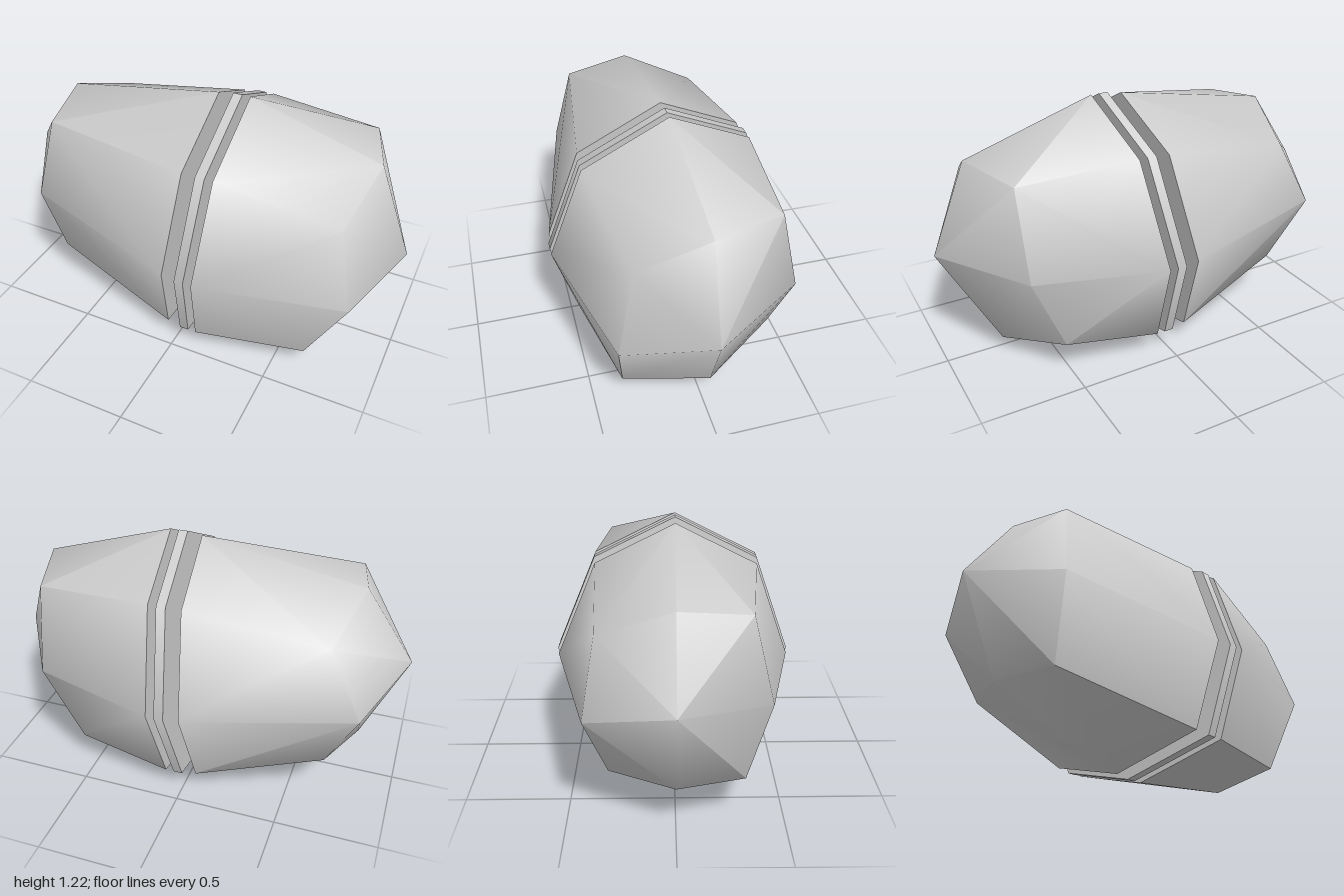
import * as THREE from 'three';
import { ConvexGeometry } from 'three/addons/geometries/ConvexGeometry.js';
import { toCreasedNormals } from 'three/addons/utils/BufferGeometryUtils.js';

// Uneven eight-sided cross-section at the cut, as [y, z]
const SECTION = [
  [1.22, 0.01], [1.01, 0.42], [0.53, 0.59], [0.11, 0.47],
  [0.0, -0.01], [0.12, -0.44], [0.56, -0.59], [1.03, -0.39],
];

// The section laid on the tilted cutting plane, shifted along x
function cutRing(offset, scale = 1) {
  return SECTION.map(([sy, sz]) => {
    const y = 0.61 + (sy - 0.61) * scale;
    const z = sz * scale;
    return [offset + 0.083 * (y - 0.61) + 0.051 * z, y, z];
  });
}

function hullMesh(name, points, material) {
  const hull = new ConvexGeometry(points.map((p) => new THREE.Vector3(...p)));
  const mesh = new THREE.Mesh(toCreasedNormals(hull, THREE.MathUtils.degToRad(52)), material);
  mesh.name = name;
  return mesh;
}

export function createModel() {
  const group = new THREE.Group();
  group.name = 'slicedCapsule';
  const grey = new THREE.MeshStandardMaterial({ color: 0xcccccc });
  grey.name = 'plain grey';

  // Shoulder ring and tip of each half, from the top round by the front
  const rightShoulder = [
    [-0.76, 1.07, 0], [-0.70, 1.03, 0.32], [-0.76, 0.65, 0.41], [-0.72, 0.26, 0.31],
    [-0.80, 0.26, 0], [-0.68, 0.28, -0.30], [-0.83, 0.61, -0.39], [-0.67, 0.93, -0.34],
  ];
  const leftShoulder = [
    [0.83, 1.02, 0], [0.76, 0.86, 0.32], [0.85, 0.50, 0.41], [0.65, 0.11, 0.36],
    [0.73, 0.08, -0.05], [0.54, 0.19, -0.40], [0.71, 0.58, -0.44], [0.72, 1.00, -0.34],
  ];

  group.add(
    hullMesh('rightHalf', [...cutRing(-0.015, 0.98), ...rightShoulder, [-1, 0.72, 0]], grey),
    hullMesh('middleDisc', [...cutRing(0.055), ...cutRing(0.1)], grey),
    hullMesh('leftHalf', [...cutRing(0.14), ...leftShoulder, [1, 0.58, 0.01]], grey),
  );
  return group;
}
